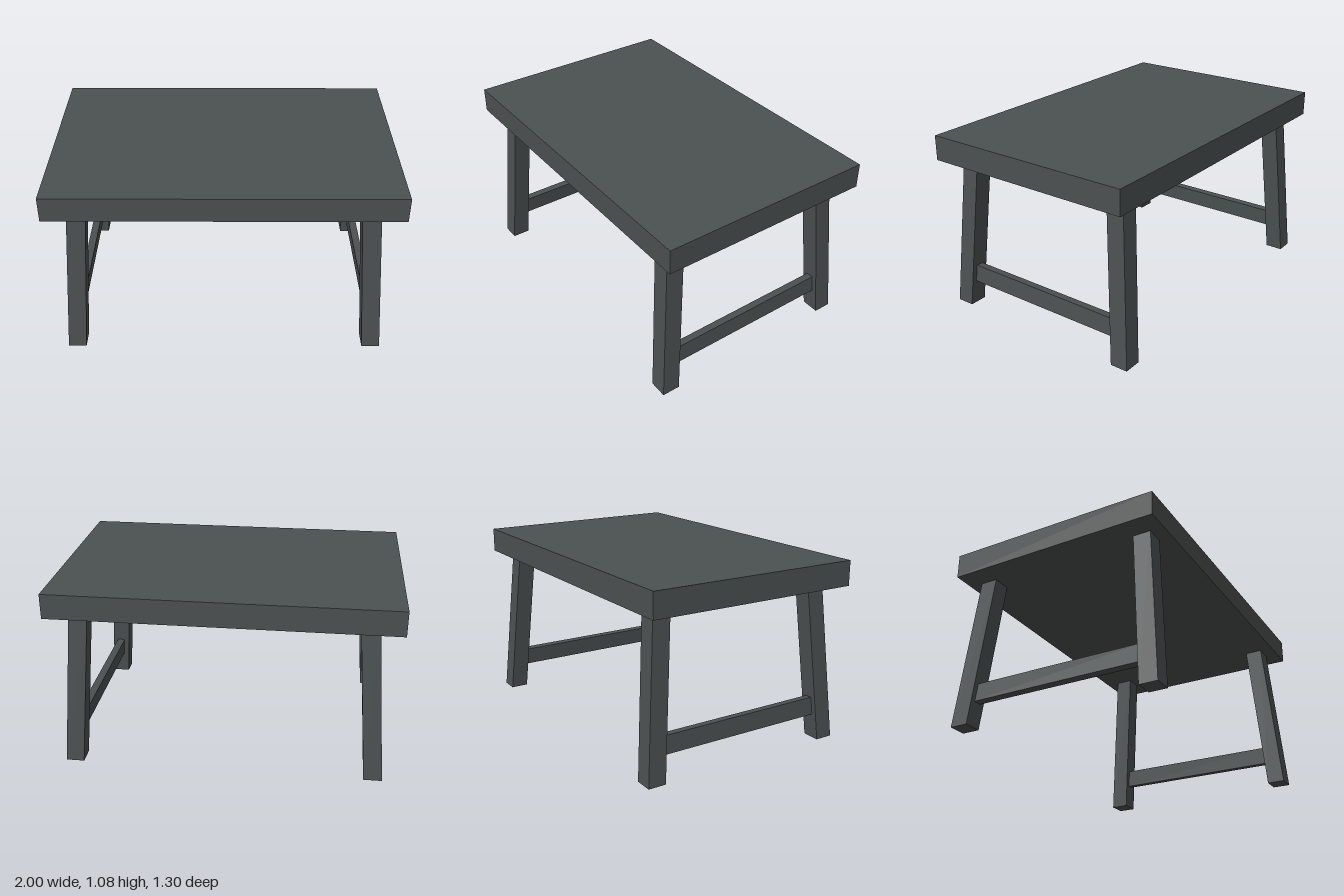
import * as THREE from 'three';

export function createModel() {
  const model = new THREE.Group();
  model.name = 'table';
  const paint = new THREE.MeshStandardMaterial({ color: 0x4b5050 });
  paint.name = 'charcoal';

  const add = (name, geometry) => {
    const mesh = new THREE.Mesh(geometry, paint);
    mesh.name = name;
    model.add(mesh);
    return mesh;
  };

  // Thick slab top
  const topY = 1.08, underY = 0.933;
  add('tabletop', new THREE.BoxGeometry(2, topY - underY, 1.3))
    .position.y = (topY + underY) / 2;

  // Square legs splayed outward in both directions, with level feet
  const legSize = 0.107, legHeight = 0.95;
  const footX = 0.886, footZ = 0.587, slope = 0.075;
  for (const sx of [-1, 1]) {
    for (const sz of [-1, 1]) {
      const leg = new THREE.BoxGeometry(legSize, legHeight, legSize);
      leg.translate(0, legHeight / 2, 0);
      const p = leg.attributes.position;
      for (let i = 0; i < p.count; i++) {
        const y = p.getY(i);
        p.setX(i, p.getX(i) + sx * (footX - slope * y));
        p.setZ(i, p.getZ(i) + sz * (footZ - slope * y));
      }
      leg.computeVertexNormals();
      add(`${sz > 0 ? 'front' : 'back'}${sx > 0 ? 'Left' : 'Right'}Leg`, leg);
    }

    // Thin rail joining the two legs of each end, leaning with them
    const railY = 0.2;
    const rail = add(sx > 0 ? 'leftRail' : 'rightRail', new THREE.BoxGeometry(0.046, 0.107, 1.1));
    rail.position.set(sx * (footX - slope * railY), railY, 0);
    rail.rotation.z = sx * Math.atan(slope);
  }

  return model;
}
